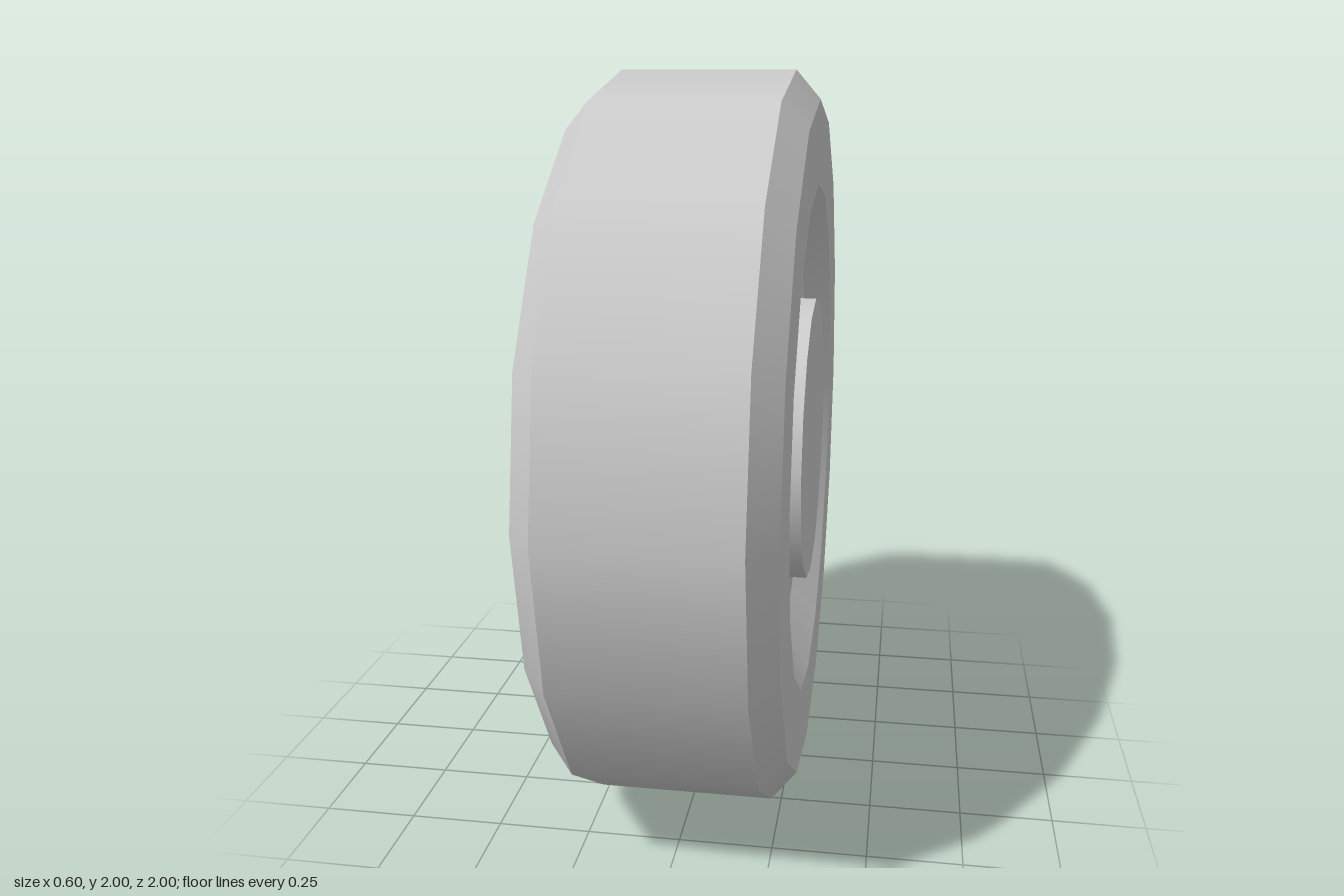
import * as THREE from 'three';

const SIDES = 16;

export function createModel() {
  const wheel = new THREE.Group();
  wheel.name = 'wheel';
  const material = new THREE.MeshStandardMaterial({ color: 0xcccccc });

  // Each band is its own lathe: smooth around the axle, sharp between bands.
  // Points are [radius, x], running from the inner side to the outer side.
  const band = (name, from, to) => {
    const points = [from, to].map(([r, x]) => new THREE.Vector2(r, x));
    const geometry = new THREE.LatheGeometry(points, SIDES);
    geometry.rotateZ(-Math.PI / 2); // axle along x
    const mesh = new THREE.Mesh(geometry, material);
    mesh.name = name;
    mesh.position.y = 1;
    wheel.add(mesh);
  };

  // Profile, from the plain back, over the tread, into the dished face and hub
  const profile = [
    [0, -0.3], [0.925, -0.3], [1, -0.235], [1, 0.235], [0.925, 0.3],
    [0.705, 0.3], [0.605, 0.225], [0.395, 0.25], [0.395, 0.3], [0, 0.3],
  ];
  const names = [
    'backFace', 'backBevel', 'tread', 'outerBevel', 'sidewall',
    'rimWall', 'rimDish', 'hubSide', 'hubCap',
  ];
  names.forEach((name, i) => band(name, profile[i], profile[i + 1]));

  return wheel;
}
